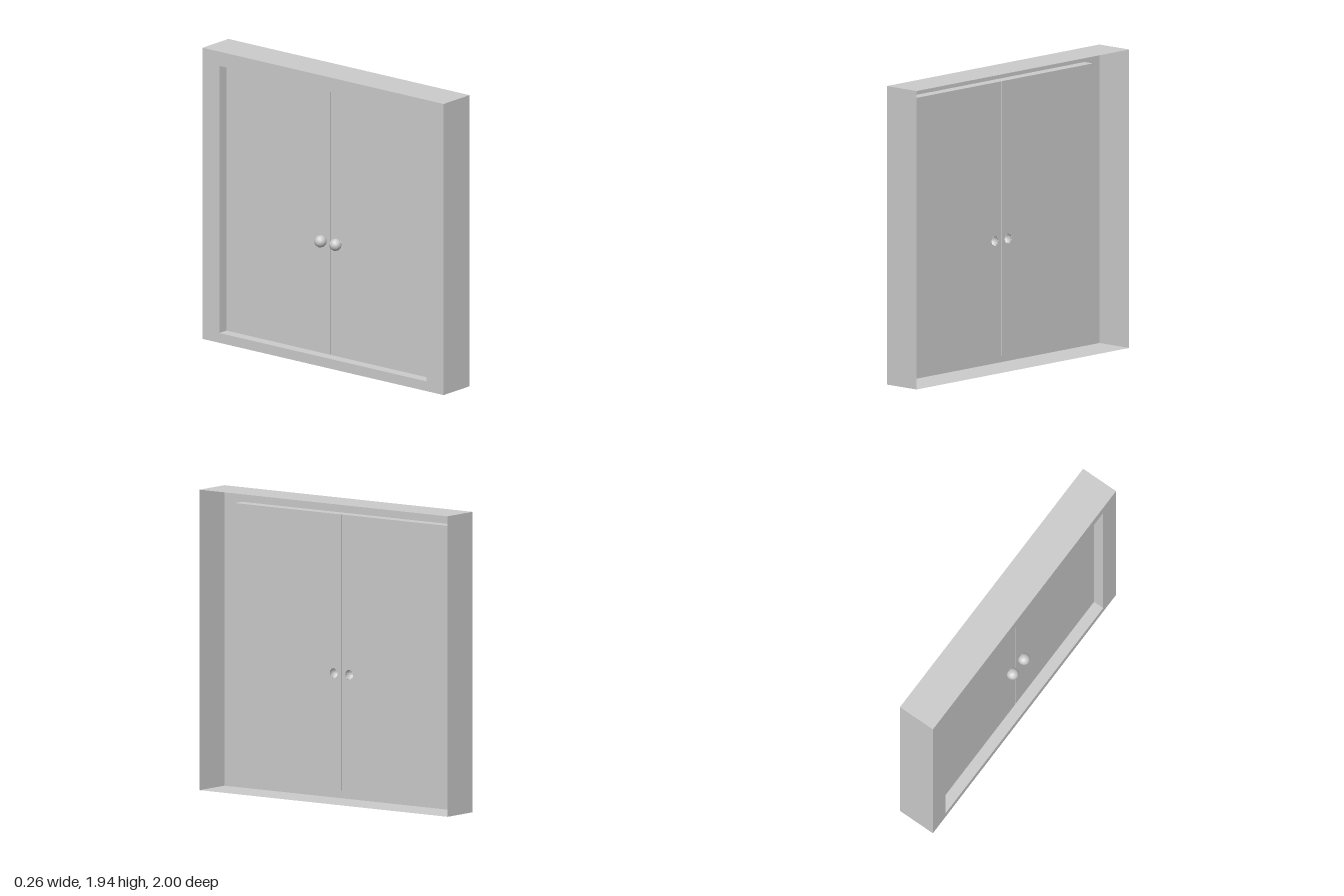
import * as THREE from 'three';

const mat = new THREE.MeshStandardMaterial({ color: 0xcccccc, side: THREE.DoubleSide });

const H = 1.94;                    // overall height
const FACE = -0.13, OPEN = 0.13;   // frame face and open side of the casing
const DOOR = -0.057;               // plane of the doors
const Y0 = 0.065, Y1 = 1.845, W = 0.86; // opening in the frame
const GAP = 0.004, GROOVE = 0.01;  // half width and depth of the seam
const KNOB_Y = 0.815, KNOB_Z = 0.062, KNOB_R = 0.032;

function add(parent, name, geometry) {
  const mesh = new THREE.Mesh(geometry, mat);
  mesh.name = name;
  parent.add(mesh);
  return mesh;
}

function rectangle(PathType, z0, y0, z1, y1) {
  const p = new PathType();
  p.moveTo(z0, y0);
  p.lineTo(z1, y0);
  p.lineTo(z1, y1);
  p.lineTo(z0, y1);
  p.closePath();
  return p;
}

// Flat panel drawn in (z, y), facing -x
function panel(shape, x) {
  return new THREE.ShapeGeometry(shape, 12).rotateY(-Math.PI / 2).translate(x, 0, 0);
}

// Open rectangular sleeve of four thin walls running along x
function sleeve(parent, name, x0, x1, z0, y0, z1, y1) {
  const d = x1 - x0, cx = (x0 + x1) / 2, cy = (y0 + y1) / 2, cz = (z0 + z1) / 2;
  const g = new THREE.Group();
  g.name = name;
  for (const [z, s] of [[z0, -1], [z1, 1]]) {
    add(g, 'sideWall', new THREE.PlaneGeometry(d, y1 - y0)
      .rotateY(s > 0 ? 0 : Math.PI).translate(cx, cy, z));
  }
  for (const [y, s] of [[y0, 1], [y1, -1]]) {
    add(g, s > 0 ? 'bottomWall' : 'topWall', new THREE.PlaneGeometry(d, z1 - z0)
      .rotateX(s * Math.PI / 2).translate(cx, y, cz));
  }
  parent.add(g);
}

export function createModel() {
  const model = new THREE.Group();
  model.name = 'doubleDoor';

  // Outer casing, open towards +x
  sleeve(model, 'casing', FACE, OPEN, -1, 0, 1, H);

  // Frame face with its opening, and the reveal leading to the doors
  const frame = rectangle(THREE.Shape, -1, 0, 1, H);
  frame.holes.push(rectangle(THREE.Path, -W, Y0, W, Y1));
  add(model, 'frameFace', panel(frame, FACE));
  sleeve(model, 'reveal', FACE, DOOR, -W, Y0, W, Y1);

  // Seam between the doors
  add(model, 'seamBack', panel(rectangle(THREE.Shape, -GAP, Y0, GAP, Y1), DOOR + GROOVE));
  sleeve(model, 'seamWalls', DOOR, DOOR + GROOVE, -GAP, Y0, GAP, Y1);

  // Round knob, open where it meets the door
  const ball = 0.04, start = Math.asin(KNOB_R / ball);
  const profile = [];
  for (let i = 0; i <= 8; i++) {
    const a = Math.PI - start - (i / 8) * (Math.PI - start);
    profile.push(new THREE.Vector2(ball * Math.sin(a), ball * (Math.cos(a) + Math.cos(start))));
  }
  const knob = new THREE.LatheGeometry(profile, 12).rotateZ(Math.PI / 2);

  for (const s of [-1, 1]) {
    const door = new THREE.Group();
    door.name = s > 0 ? 'frontDoor' : 'rearDoor';
    const leaf = rectangle(THREE.Shape, Math.min(s * GAP, s * W), Y0, Math.max(s * GAP, s * W), Y1);
    const hole = new THREE.Path();
    hole.absarc(s * KNOB_Z, KNOB_Y, KNOB_R, 0, Math.PI * 2, true);
    leaf.holes.push(hole);
    add(door, 'doorPanel', panel(leaf, DOOR));
    add(door, 'knob', knob).position.set(DOOR, KNOB_Y, s * KNOB_Z);
    model.add(door);
  }

  return model;
}
